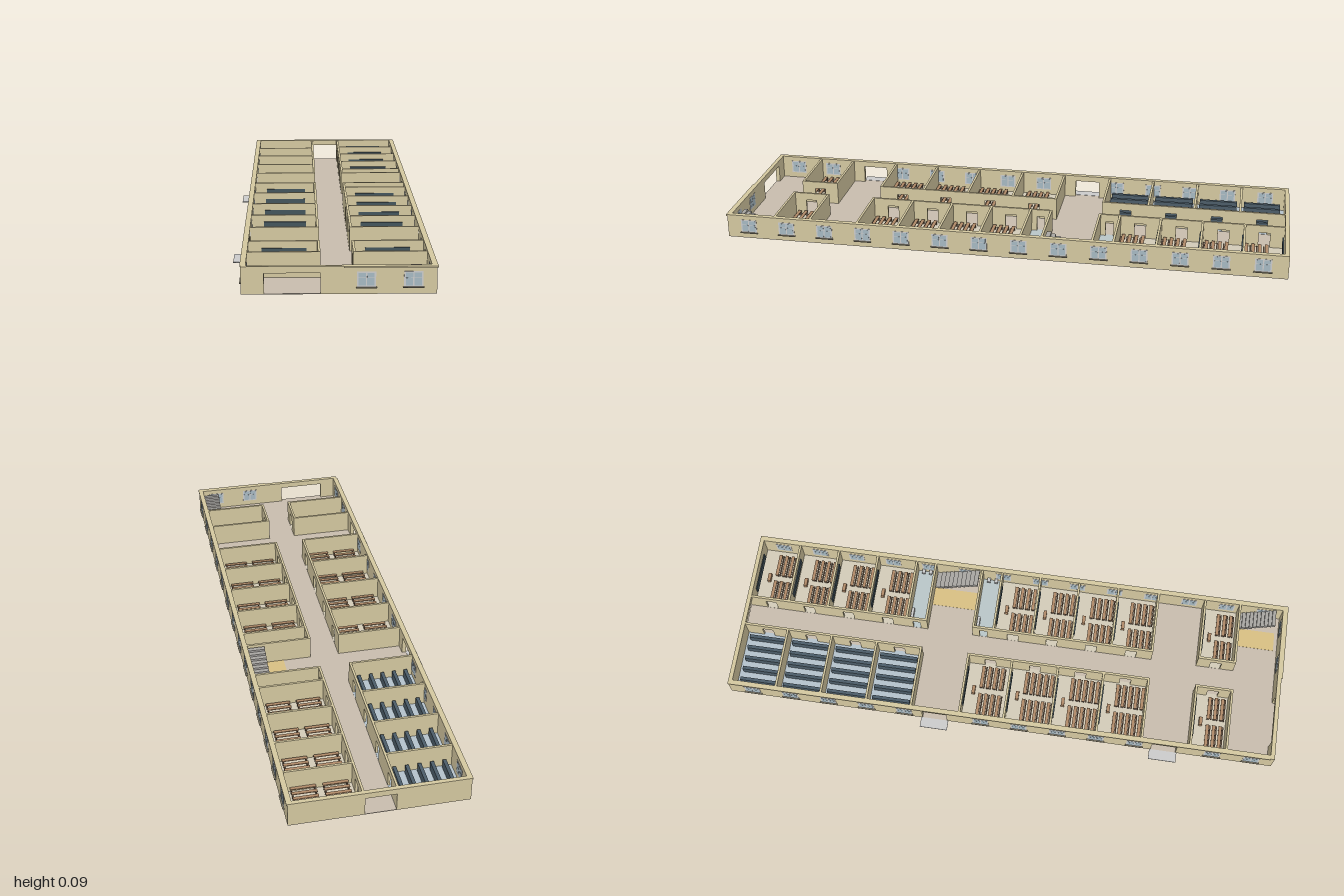
import * as THREE from 'three';

export function createModel() {
  const root = new THREE.Group();
  const mat = (color) => new THREE.MeshStandardMaterial({ color });
  const M = {
    wall: mat(0xd4c8a0), floor: mat(0xc9bdae), room: mat(0xd3ccb8), blue: mat(0xb4c2cc), bath: mat(0xbac6c8),
    wood: mat(0xb08a68), bench: mat(0x6b5646), board: mat(0x43545c), rack: mat(0x4c5d69), frame: mat(0xdadedd),
    glass: mat(0xa6b8c2), sill: mat(0x8d8672), step: mat(0xa8a6a2), ramp: mat(0xcccccc), mat: mat(0xd8c083),
  };
  const H = 0.085, DOOR = 0.066, T = 0.015, t = 0.008;
  const X0 = -0.28, X1 = 0.311, Z0 = -1, Z1 = 0.993;     // outer faces
  const XL = -0.037, XR = 0.065;                          // corridor sides
  const IL = X0 + T, IR = X1 - T;                         // inner faces

  function group(name, parent = root) {
    const g = new THREE.Group();
    g.name = name;
    parent.add(g);
    return g;
  }
  // Box given by its limits on each axis
  function box(parent, name, m, x0, x1, y0, y1, z0, z1) {
    const b = new THREE.Mesh(new THREE.BoxGeometry(x1 - x0, y1 - y0, z1 - z0), m);
    b.position.set((x0 + x1) / 2, (y0 + y1) / 2, (z0 + z1) / 2);
    b.name = name;
    parent.add(b);
    return b;
  }
  // Upright wall centred on a line, with door notches [from, to, height]
  function wall(parent, name, axis, at, a, b, thick, doors = []) {
    const s = new THREE.Shape();
    s.moveTo(a, 0);
    for (const [d0, d1, h] of doors) {
      s.lineTo(d0, 0); s.lineTo(d0, h); s.lineTo(d1, h); s.lineTo(d1, 0);
    }
    s.lineTo(b, 0); s.lineTo(b, H); s.lineTo(a, H);
    const g = new THREE.ExtrudeGeometry(s, { depth: thick, bevelEnabled: false });
    g.translate(0, 0, -thick / 2);
    if (axis === 'z') g.rotateY(-Math.PI / 2);
    const w = new THREE.Mesh(g, M.wall);
    w.position.set(axis === 'z' ? at : 0, 0, axis === 'z' ? 0 : at);
    w.name = name;
    parent.add(w);
  }

  // Floor slab and outer shell
  box(root, 'floor', M.floor, X0, X1, 0, 0.002, Z0, Z1);
  const shell = group('outerWalls');
  wall(shell, 'frontWall', 'x', Z1 - T / 2, X0, X1, T, [[-0.21, -0.04, DOOR]]);
  wall(shell, 'backWall', 'x', Z0 + T / 2, X0, X1, T, [[XL, XR, DOOR]]);
  wall(shell, 'rightWall', 'z', X0 + T / 2, Z0 + T, Z1 - T, T, [[-0.285, -0.195, DOOR], [0.555, 0.645, DOOR]]);
  wall(shell, 'leftWall', 'z', X1 - T / 2, Z0 + T, Z1 - T, T);

  // Top trim
  const trim = group('topTrim');
  box(trim, 'frontTrim', M.wall, 0.03, 0.314, 0.082, 0.087, Z1 - T, 0.997);
  box(trim, 'frontCap', M.wall, X0, 0.03, H, 0.087, Z1 - T, Z1);
  box(trim, 'backTrim', M.wall, -0.283, 0.314, 0.082, 0.087, Z0, Z0 + T);
  box(trim, 'leftTrim', M.wall, IR, 0.314, 0.082, 0.087, Z0 + T, Z1 - T);
  box(trim, 'rightTrim', M.wall, -0.283, IL, 0.082, 0.087, Z0 + T, Z1 - T);

  // Window through the wall, built facing +z, with sill outside
  function windowUnit(x, z, turn) {
    const g = group('window');
    const d = T / 2 + 0.001;
    box(g, 'windowFrame', M.frame, -0.029, 0.029, 0.022, 0.07, -d, d);
    for (const s of [-1, 1]) {
      const a = s < 0 ? -0.024 : 0.002, b = a + 0.022;
      box(g, 'lowerPane', M.glass, a, b, 0.026, 0.05, -d - 0.0006, d + 0.0006);
      box(g, 'upperPane', M.glass, a, b, 0.0515, 0.066, -d - 0.0006, d + 0.0006);
    }
    box(g, 'windowSill', M.sill, -0.032, 0.032, 0.019, 0.022, 0, T / 2 + 0.006);
    g.position.set(x, 0, z);
    g.rotation.y = turn;
  }
  for (const x of [0.098, 0.24]) windowUnit(x, Z1 - T / 2, 0);
  for (let i = 0; i < 14; i++) {
    const z = 0.914 - i * 0.1406;
    windowUnit(X1 - T / 2, z, Math.PI / 2);
    if (i !== 2 && i !== 8) windowUnit(X0 + T / 2, z, -Math.PI / 2);
  }

  // Entrance slabs outside the side doors
  for (const z of [-0.24, 0.6]) box(root, 'entranceSlab', M.ramp, -0.317, X0, 0, 0.003, z - 0.05, z + 0.05);

  // Classroom: board and teacher's desk at the back end, two columns of desks
  function classroom(g, x0, x1, z0, z1) {
    const c = (x0 + x1) / 2;
    box(g, 'blackboard', M.board, c - 0.072, c + 0.072, 0.03, 0.062, z0 + t / 2, z0 + t / 2 + 0.004);
    box(g, 'teacherDesk', M.wood, c - 0.015, c + 0.015, 0.003, 0.02, z0 + 0.028, z0 + 0.04);
    const rows = Math.floor((z1 - z0 - 0.045) / 0.0235);
    for (let r = 0; r < rows; r++) {
      const z = z0 + 0.054 + r * 0.0235;
      for (const s of [-1, 1]) {
        const m = c + s * 0.053;
        box(g, 'deskTop', M.wood, m - 0.042, m + 0.042, 0.016, 0.019, z, z + 0.012);
        for (const e of [-1, 1]) box(g, 'deskLeg', M.bench, m + e * 0.038 - 0.002, m + e * 0.038 + 0.002, 0.003, 0.016, z + 0.001, z + 0.011);
        box(g, 'bench', M.bench, m - 0.042, m + 0.042, 0.008, 0.011, z + 0.0135, z + 0.0185);
      }
    }
  }
  // Store room: five long racks
  function store(g, x0, x1, z0, z1) {
    for (let i = 0; i < 5; i++) {
      const x = -0.238 + i * 0.042;
      box(g, 'rack', M.rack, x - 0.006, x + 0.006, 0.003, 0.035, z0 + 0.014, z1 - 0.012);
    }
  }
  // Washroom: counter and small basins
  function washroom(g, x0, x1, z0, z1) {
    box(g, 'counter', M.ramp, x0 + 0.022, x0 + 0.068, 0.003, 0.025, z0 + 0.006, z0 + 0.016);
    for (const z of [z0 + 0.025, z1 - 0.022]) box(g, 'basin', M.frame, x1 - 0.016, x1, 0.012, 0.022, z - 0.006, z + 0.006);
  }

  // A block of rooms between the corridor and an outer wall
  function block(side, cuts, kinds) {
    const g = group(side < 0 ? 'rightRooms' : 'leftRooms');
    const [x0, x1] = side < 0 ? [IL, XL] : [XR, IR];
    const doors = [];
    for (let i = 0; i < kinds.length; i++) {
      const z0 = cuts[i], z1 = cuts[i + 1], kind = kinds[i];
      const room = group(kind.name, g);
      const floor = kind === store ? M.blue : kind === washroom ? M.bath : M.room;
      box(room, 'roomFloor', floor, x0, x1, 0.001, 0.003, z0, z1);
      kind(room, x0, x1, z0, z1);
      const m = (z0 + z1) / 2, w = kind === washroom ? 0.014 : 0.02;
      doors.push([m - w, m + w, 0.058]);
    }
    for (const z of cuts) if (z > -0.98) wall(g, 'partition', 'x', z, x0, x1, t);
    wall(g, 'corridorWall', 'z', side < 0 ? XL - t / 2 : XR + t / 2, cuts[0] - t / 2, cuts[cuts.length - 1] + t / 2, t, doors);
  }
  const C = classroom, S = store, W = washroom;
  block(-1, [-0.985, -0.825, -0.66, -0.492, -0.327], [S, S, S, S]);
  block(-1, [-0.15, 0.012, 0.182, 0.35, 0.515], [C, C, C, C]);
  block(-1, [0.69, 0.82], [C]);
  block(1, [-0.985, -0.845, -0.697, -0.548, -0.4, -0.327], [C, C, C, C, W]);
  block(1, [-0.15, -0.075, 0.07, 0.217, 0.365, 0.515], [W, C, C, C, C]);
  block(1, [0.69, 0.82], [C]);

  // Staircases with a yellow floor strip beside them
  for (const [z0, z1] of [[-0.322, -0.16], [0.826, 0.955]]) {
    const g = group('staircase');
    const n = 10, d = (z1 - z0) / n;
    for (let i = 0; i < n; i++) {
      const y = 0.003 + (i + 1) * 0.0075;
      box(g, 'step', M.step, 0.235, IR, Math.max(0.002, y - 0.013), y, z0 + i * d, z0 + (i + 1) * d);
    }
    box(g, 'floorStrip', M.mat, 0.165, 0.235, 0.001, 0.003, z0, z1 + 0.01);
  }
  return root;
}
